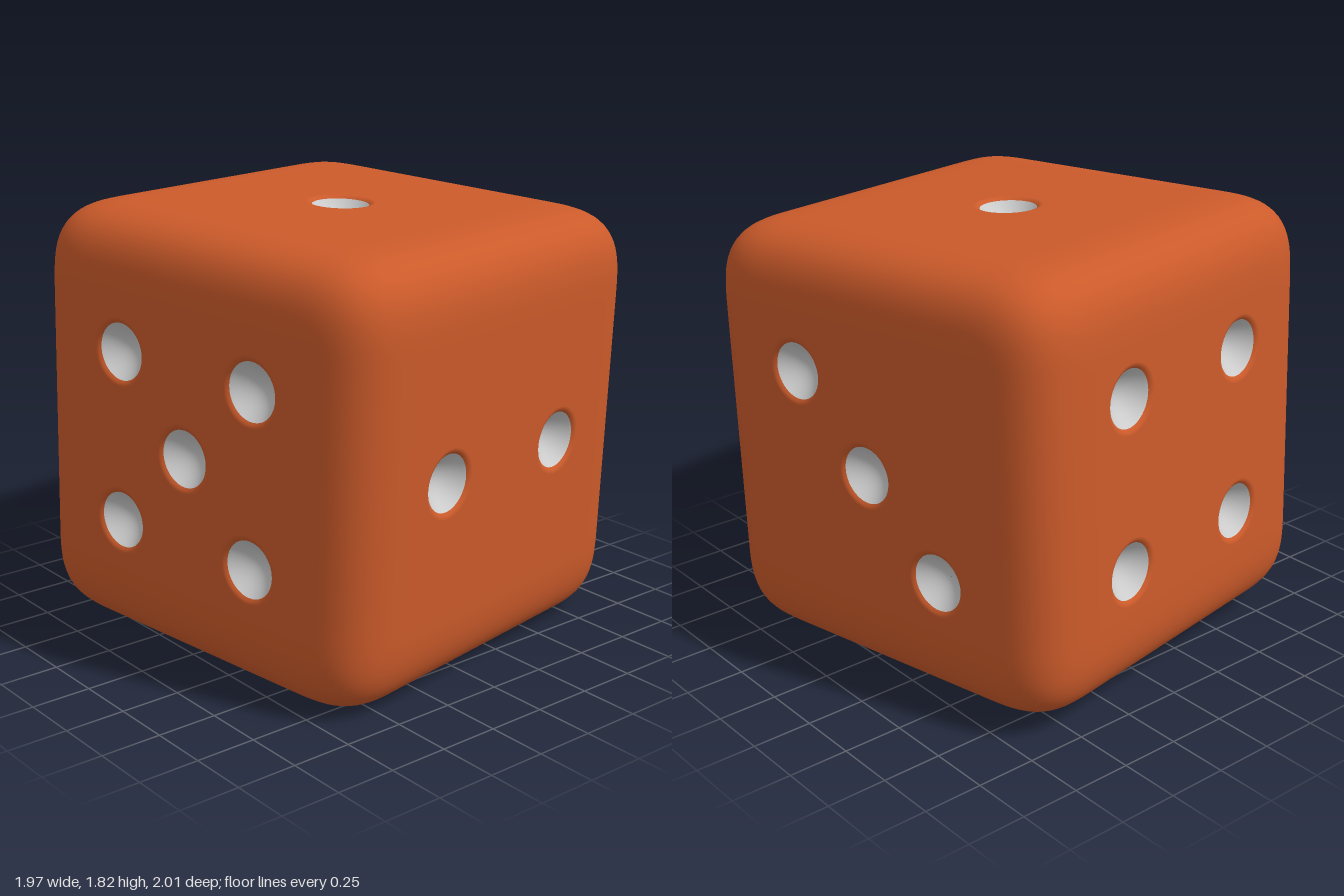
import * as THREE from 'three';

const FLAT = 0.5;      // half width of the flat panel on every face
const ROUND = 0.39;    // reach of the rounded edges
const POWER = 3.5;     // squareness of the rounding
const HALF = FLAT + ROUND;
const STEP = 0.355;    // pip spacing from the face centre
const PIP = 0.117, LIP = 0.14, LIP_DEPTH = 0.012;

const orange = new THREE.MeshStandardMaterial({ color: 0xcb5a2a });
const grey = new THREE.MeshStandardMaterial({ color: 0xcccccc });

// Rounded edges and corners: a cube grid swept over a superellipse, open in the flat middles
function shellGeometry() {
  const side = 12, n = 2 * side + 1;
  const geo = new THREE.BoxGeometry(2, 2, 2, n, n, n);
  const pos = geo.attributes.position, nor = geo.attributes.normal;
  const inner = [];
  for (let i = 0; i < pos.count; i++) {
    const c = [pos.getX(i), pos.getY(i), pos.getZ(i)];
    const d = c.map(t => {
      const e = (Math.abs(t) - 1 / n) / (1 - 1 / n);
      return e < 1e-4 ? 0 : Math.tan(e * Math.PI / 4);
    });
    const len = Math.pow(d.reduce((s, v) => s + Math.pow(v, POWER), 0), 1 / POWER);
    const p = c.map((t, k) => Math.sign(t) * (FLAT + ROUND * d[k] / len));
    const m = new THREE.Vector3(...c.map((t, k) => Math.sign(t) * Math.pow(d[k] / len, POWER - 1))).normalize();
    pos.setXYZ(i, ...p);
    nor.setXYZ(i, m.x, m.y, m.z);
    inner.push(d.filter(v => v === 0).length === 2);
  }
  const kept = [], idx = geo.index.array;
  for (let i = 0; i < idx.length; i += 3) {
    const tri = [idx[i], idx[i + 1], idx[i + 2]];
    if (!tri.every(v => inner[v])) kept.push(...tri);
  }
  geo.setIndex(kept);
  geo.clearGroups();
  return geo;
}

// Outline of a pip: a circle, or a capsule along y when reach > 0
function outline(reach) {
  const pts = [], arc = 24, run = reach > 0 ? 40 : 0;
  for (const s of [1, -1]) {
    for (let i = 0; i <= arc; i++) {
      const a = Math.PI * i / arc;
      if (reach === 0 && i === arc) continue;
      pts.push({ s: s * reach, x: s * Math.cos(a), y: s * Math.sin(a) });
    }
    for (let i = 1; i < run; i++) pts.push({ s: s * reach * (1 - 2 * i / run), x: -s, y: 0 });
  }
  return pts;
}

// Surface lofted through rings that shrink toward the spine of the pip
function loft(reach, radii, depthAt) {
  const pts = outline(reach), n = pts.length, v = [], idx = [];
  for (const r of radii)
    for (const p of pts) v.push(p.x * r, p.s + p.y * r, -depthAt(r, p.s));
  for (let j = 0; j < radii.length - 1; j++)
    for (let i = 0; i < n; i++) {
      const a = j * n + i, b = j * n + (i + 1) % n;
      idx.push(a, b, a + n, b, b + n, a + n);
    }
  const geo = new THREE.BufferGeometry();
  geo.setAttribute('position', new THREE.Float32BufferAttribute(v, 3));
  geo.setIndex(idx);
  geo.computeVertexNormals();
  return geo;
}

const lipDepth = r => LIP_DEPTH * Math.pow((LIP - r) / (LIP - PIP), 2);
// Hollow is deepest under each pip centre, so joined pips ripple along the groove
const bowlDepth = (r, s) => LIP_DEPTH
  + 0.075 * (1 - (r / PIP) ** 2) * (0.75 + 0.25 * Math.cos(2 * Math.PI * s / STEP));

function createFace(name, pips, reach, rx, ry) {
  const face = new THREE.Group();
  face.name = name;
  const add = (geo, mat, label, x = 0, y = 0) => {
    const mesh = new THREE.Mesh(geo, mat);
    mesh.name = label;
    mesh.position.set(x, y, HALF);
    face.add(mesh);
  };

  // Flat panel with an opening for every pip
  const shape = new THREE.Shape([[-1, -1], [1, -1], [1, 1], [-1, 1]]
    .map(([x, y]) => new THREE.Vector2(x * FLAT, y * FLAT)));
  for (const [x, y] of pips)
    shape.holes.push(new THREE.Path(outline(reach)
      .map(p => new THREE.Vector2(x + p.x * LIP, y + p.s + p.y * LIP))));
  add(new THREE.ShapeGeometry(shape), orange, 'facePanel');

  // Soft lip and hollow bowl of every pip
  const lipRadii = [0, 1, 2, 3, 4].map(i => LIP + (PIP - LIP) * i / 4);
  const bowlRadii = Array.from({ length: 13 }, (_, i) => Math.max(PIP * (1 - i / 12), 0.0005));
  for (const [x, y] of pips) {
    add(loft(reach, lipRadii, lipDepth), orange, 'pipLip', x, y);
    add(loft(reach, bowlRadii, bowlDepth), grey, 'pipBowl', x, y);
  }
  face.rotation.set(rx, ry, 0);
  return face;
}

export function createModel() {
  const group = new THREE.Group();
  group.name = 'die';
  const cube = new THREE.Group();
  cube.name = 'cube';
  group.add(cube);

  const shell = new THREE.Mesh(shellGeometry(), orange);
  shell.name = 'roundedEdges';
  cube.add(shell);

  const S = STEP, Q = Math.PI / 2;
  const corners = [[-S, S], [S, S], [-S, -S], [S, -S]];
  cube.add(
    createFace('topFace', [[0, 0]], 0, -Q, 0),
    createFace('frontFace', [[-S, 0], [S, 0]], 0, 0, 0),
    createFace('leftFace', [[-S, S], [0, 0], [S, -S]], 0, 0, Q),
    createFace('backFace', corners, 0, 0, 2 * Q),
    createFace('rightFace', [...corners, [0, 0]], 0, 0, -Q),
    createFace('bottomFace', [[-S, 0], [S, 0]], S, Q, 0),
  );

  // Slight turn and tilt, then set down on the ground
  cube.rotation.set(0.038, 0.166, 0, 'YXZ');
  group.updateMatrixWorld(true);
  const box = new THREE.Box3().setFromObject(group, true);
  cube.position.y = -box.min.y;
  return group;
}
